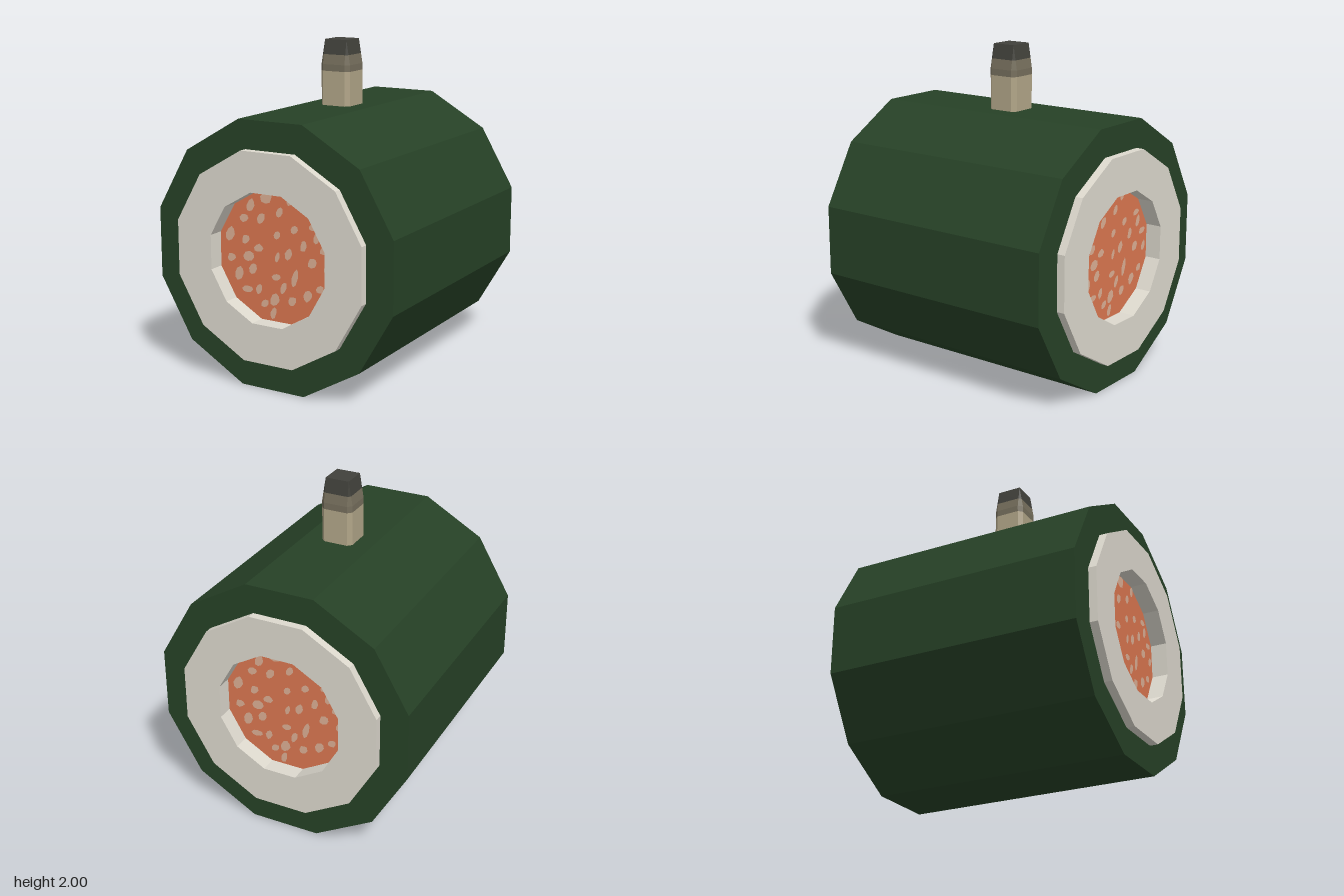
import * as THREE from 'three';

const mat = (name, color) => {
  const m = new THREE.MeshStandardMaterial({ color });
  m.name = name;
  return m;
};

// Regular twelve-sided outline with a flat bottom; a = centre to flat
function dodecagon(a, Type = THREE.Shape) {
  const r = a / Math.cos(Math.PI / 12);
  const pts = [];
  for (let i = 0; i < 12; i++) {
    const t = (i + 0.5) * Math.PI / 6;
    pts.push(new THREE.Vector2(r * Math.cos(t), r * Math.sin(t)));
  }
  return new Type(pts);
}

// Prism along z, centred, with an optional twelve-sided bore
function prism(outer, inner, length) {
  const shape = dodecagon(outer);
  if (inner) shape.holes.push(dodecagon(inner, THREE.Path));
  const g = new THREE.ExtrudeGeometry(shape, { depth: length, bevelEnabled: false });
  return g.translate(0, 0, -length / 2);
}

// Chamfered square loft through the given heights, tapering above 1.85
function stemBand(heights, capped) {
  const rings = heights.map((y) => {
    const a = 0.1 - 0.025 * Math.max(0, (y - 1.85) / 0.15), b = 0.075;
    return [[a, b], [b, a], [-b, a], [-a, b], [-a, -b], [-b, -a], [b, -a], [a, -b]]
      .map(([x, z]) => [x, y, z]);
  });
  const pos = [];
  for (let k = 0; k < rings.length - 1; k++) {
    for (let i = 0; i < 8; i++) {
      const j = (i + 1) % 8;
      const a = rings[k][i], b = rings[k][j], c = rings[k + 1][j], d = rings[k + 1][i];
      pos.push(...a, ...d, ...c, ...a, ...c, ...b);
    }
  }
  if (capped) {
    const top = rings[rings.length - 1];
    for (let i = 1; i < 7; i++) pos.push(...top[0], ...top[i + 1], ...top[i]);
  }
  const g = new THREE.BufferGeometry();
  g.setAttribute('position', new THREE.Float32BufferAttribute(pos, 3));
  g.computeVertexNormals();
  return g;
}

// Pale flecks: x, y, width, height in hundredths, measured from the filling's centre
const FLECKS = [
  [-6, 35, 8, 8], [10, 35, 4, 7], [-17, 29, 5, 8], [3, 27, 4, 6], [-22, 21, 6, 5],
  [-10, 22, 5, 7], [26, 21, 6, 4], [13, 18, 5, 5], [28, 15, 4, 7], [-32, 10, 6, 9],
  [-21, 8, 5, 6], [-12, 4, 6, 5], [1, 13, 4, 5], [9, 3, 5, 7], [19, 9, 4, 7],
  [33, 8, 6, 4], [25, 0, 6, 6], [-31, -4, 6, 5], [-19, -2, 7, 6], [-16, -9, 5, 7],
  [-26, -13, 6, 8], [1, 0, 3, 6], [0, -12, 6, 4], [13, -11, 4, 11], [30, -15, 5, 5],
  [-12, -21, 4, 6], [5, -18, 4, 8], [-8, -29, 5, 5], [-1, -26, 6, 8], [11, -25, 5, 6],
  [22, -20, 6, 7], [-2, -34, 4, 8], [-20, -22, 7, 4], [35, -2, 4, 6],
];

function fleckGeometry() {
  let seed = 7;
  const rand = () => (seed = (seed * 16807) % 2147483647) / 2147483647;
  const shapes = FLECKS.map(([x, y, w, h]) => {
    const pts = [];
    for (let i = 0; i < 8; i++) {
      const t = i * Math.PI / 4, s = 0.0044 + 0.0014 * rand();
      const dy = h * s * Math.sin(t);
      pts.push(new THREE.Vector2(x / 100 + w * s * Math.cos(t) + dy * 0.25, y / 100 + dy));
    }
    return new THREE.Shape(pts);
  });
  return new THREE.ShapeGeometry(shapes);
}

export function createModel() {
  const model = new THREE.Group();
  const add = (parent, name, geometry, material) => {
    const mesh = new THREE.Mesh(geometry, material);
    mesh.name = name;
    parent.add(mesh);
    return mesh;
  };

  // Concentric roll: wrapper, rice ring and recessed filling
  const roll = new THREE.Group();
  roll.name = 'roll';
  roll.position.y = 0.8;
  model.add(roll);
  add(roll, 'seaweedWrapper', prism(0.8, 0.628, 1.6), mat('seaweedGreen', 0x264126));
  add(roll, 'riceRing', prism(0.628, 0.39, 1.7), mat('riceWhite', 0xdcd8cd));
  add(roll, 'filling', prism(0.39, 0, 1.5), mat('fillingOrange', 0xda7650));

  // Flecks on both ends, the back being the front turned half way round
  const fleckMat = mat('paleFleck', 0xdbae94);
  const fleckGeo = fleckGeometry();
  for (const side of [1, -1]) {
    const flecks = add(roll, side > 0 ? 'frontFlecks' : 'backFlecks', fleckGeo, fleckMat);
    flecks.position.z = side * 0.753;
    if (side < 0) flecks.rotation.y = Math.PI;
  }

  // Stem darkening towards its tapered tip
  const stem = new THREE.Group();
  stem.name = 'stem';
  model.add(stem);
  add(stem, 'stemBase', stemBand([1.58, 1.81]), mat('stemTan', 0xb1a588));
  add(stem, 'stemMiddle', stemBand([1.81, 1.85, 1.91]), mat('stemBrown', 0x756e5c));
  add(stem, 'stemTip', stemBand([1.91, 2], true), mat('stemCharcoal', 0x41413b));

  return model;
}
